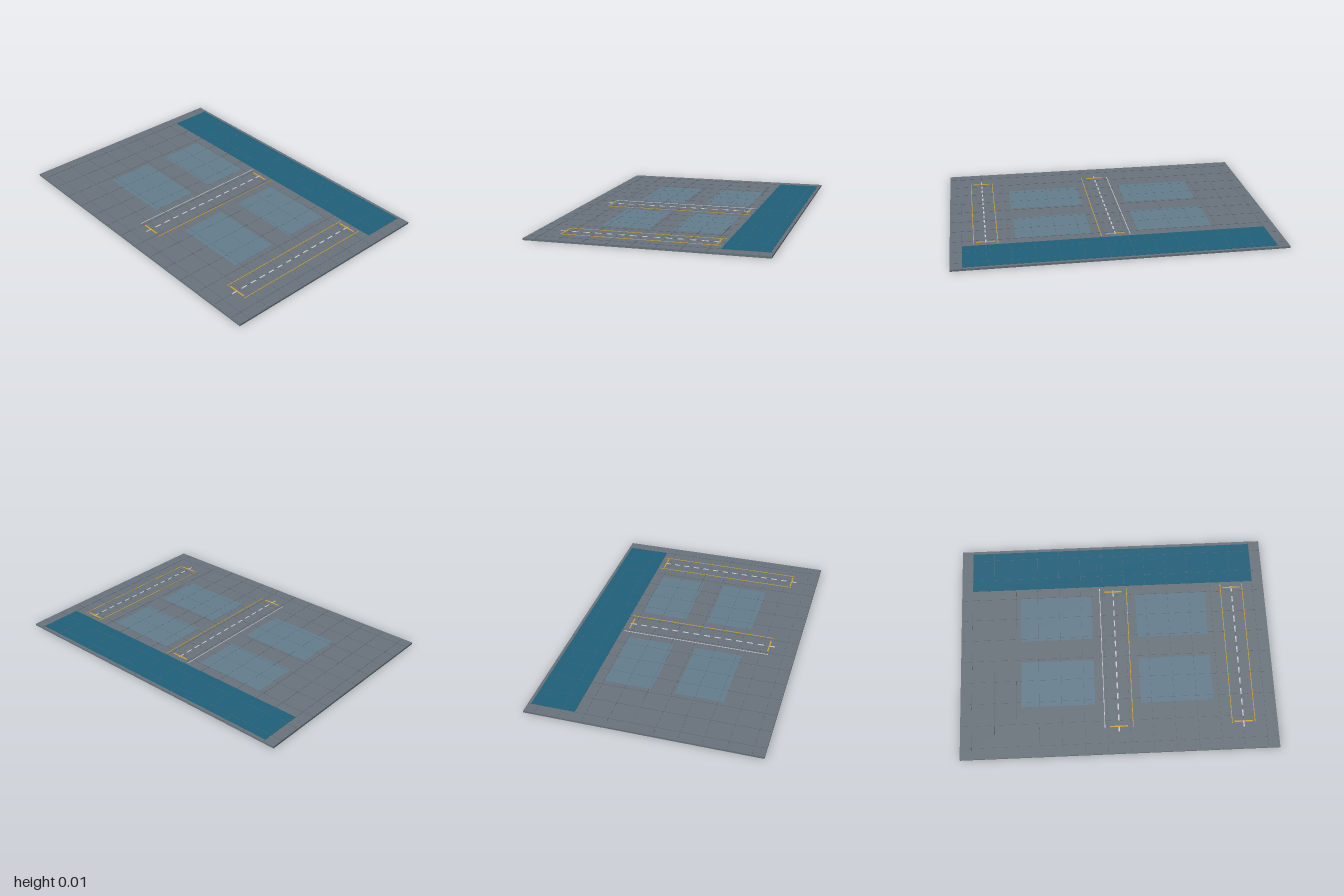
import * as THREE from 'three';

const SLAB = 0.012; // slab thickness

export function createModel() {
  const group = new THREE.Group();
  const material = (color) => new THREE.MeshStandardMaterial({ color });
  const mats = {
    paving: material(0x68727a),
    joint: material(0x59636b),
    water: material(0x1f5f78),
    pad: material(0x637b8b),
    yellow: material(0xd0a030),
    white: material(0xc4c8cc),
  };

  // Flat box given by its x and z limits, bottom and top heights
  function plate(name, mat, x0, x1, z0, z1, y0, y1, parent = group) {
    const mesh = new THREE.Mesh(new THREE.BoxGeometry(x1 - x0, y1 - y0, z1 - z0), mat);
    mesh.position.set((x0 + x1) / 2, (y0 + y1) / 2, (z0 + z1) / 2);
    mesh.name = name;
    parent.add(mesh);
  }

  plate('groundSlab', mats.paving, -1, 1, -0.714, 0.714, 0, SLAB);

  // Water strip along the back
  plate('waterStrip', mats.water, -0.928, 0.928, -0.695, -0.422, SLAB - 0.002, SLAB + 0.0012);

  // Four pads beside the middle lane
  for (const [x0, x1] of [[-0.612, -0.145], [0.145, 0.607]]) {
    for (const z of [-0.205, 0.24]) {
      plate('buildingPad', mats.pad, x0, x1, z - 0.15, z + 0.15, SLAB - 0.002, SLAB + 0.0008);
    }
  }

  // Hairline paving joints in a regular grid
  const joints = new THREE.Group();
  joints.name = 'pavingJoints';
  group.add(joints);
  const hair = 0.0006;
  for (let i = -6.5; i <= 6.5; i++) {
    plate('jointAlong', mats.joint, i / 7 - hair, i / 7 + hair, -0.71, 0.71, SLAB - 0.002, SLAB + 0.0014, joints);
  }
  for (let i = -4.5; i <= 4.5; i++) {
    plate('jointAcross', mats.joint, -0.995, 0.995, i / 7 - hair, i / 7 + hair, SLAB - 0.002, SLAB + 0.0014, joints);
  }

  // Marked lanes: edge lines, stop bars and a dashed centre line
  function lane(name, x, halfWidth, leftEdgeMat) {
    const g = new THREE.Group();
    g.name = name;
    group.add(g);
    const y0 = SLAB - 0.002;
    for (const s of [-1, 1]) {
      const ex = x + s * halfWidth;
      plate('edgeLine', s < 0 ? leftEdgeMat : mats.yellow, ex - 0.002, ex + 0.002, -0.407, 0.548, y0, SLAB + 0.0022, g);
    }
    for (const z of [-0.381, 0.539]) {
      plate('stopBar', mats.yellow, x - 0.057, x + 0.057, z - 0.004, z + 0.004, y0, SLAB + 0.003, g);
    }
    for (let i = 0; i < 14; i++) {
      const z = -0.37 + i / 14 * 0.995;
      plate('centreDash', mats.white, x - 0.004, x + 0.004, z - 0.02, z + 0.02, y0, SLAB + 0.0025, g);
    }
  }
  lane('middleLane', 0, 0.089, mats.white);
  lane('sideLane', 0.786, 0.072, mats.yellow);

  return group;
}
